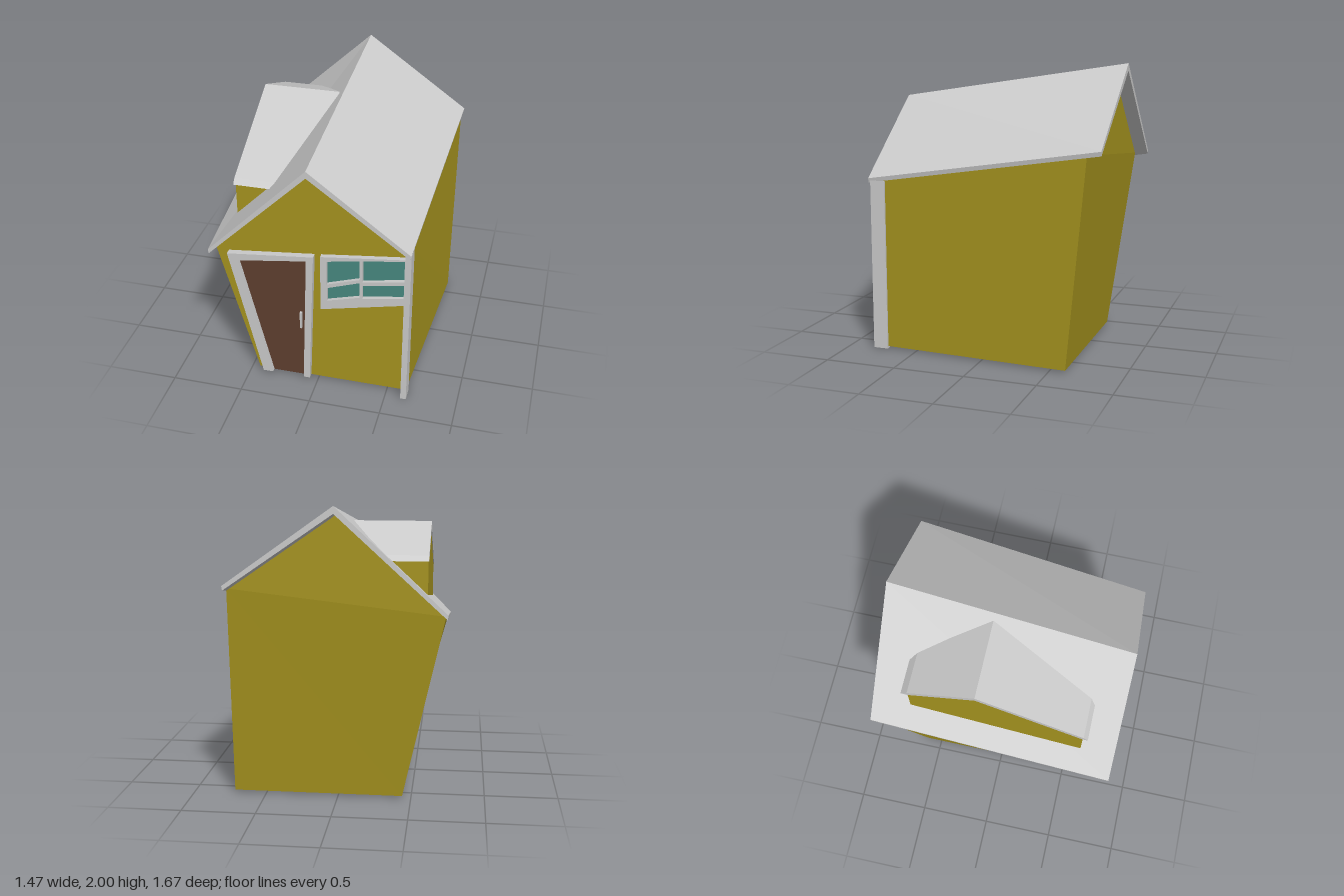
import * as THREE from 'three';

const mat = (color) => new THREE.MeshStandardMaterial({ color, flatShading: true });
const grey = mat(0xcccccc), yellow = mat(0xa6941f), brown = mat(0x5f3f2f), teal = mat(0x488980);

function add(group, name, geometry, material) {
  const mesh = new THREE.Mesh(geometry, material);
  mesh.name = name;
  group.add(mesh);
  return mesh;
}

// Joins a front loop to a back loop (both anticlockwise from the front) and caps the ends.
function loft(front, back, caps) {
  const pos = [], n = front.length;
  const tri = (a, b, c) => pos.push(...a, ...b, ...c);
  for (let i = 0; i < n; i++) {
    const j = (i + 1) % n;
    tri(front[i], back[i], front[j]);
    tri(back[i], back[j], front[j]);
  }
  for (const [a, b, c] of caps) {
    tri(front[a], front[b], front[c]);
    tri(back[a], back[c], back[b]);
  }
  const g = new THREE.BufferGeometry();
  g.setAttribute('position', new THREE.Float32BufferAttribute(pos, 3));
  g.computeVertexNormals();
  return g;
}

const points = (list) => list.map(([x, y]) => new THREE.Vector2(x, y));

// Flat outline in x and y, extruded from z0 to z1.
function slab(outline, z0, z1, holes = []) {
  const shape = new THREE.Shape(points(outline));
  shape.holes = holes.map((h) => new THREE.Path(points(h)));
  return new THREE.ExtrudeGeometry(shape, { depth: z1 - z0, bevelEnabled: false }).translate(0, 0, z0);
}

// Outline in z and y, extruded from x0 to x1.
function crossSlab(outline, x0, x1) {
  return slab(outline.map(([z, y]) => [-z, y]), x0, x1).rotateY(Math.PI / 2);
}

export function createModel() {
  const house = new THREE.Group();
  house.name = 'crookedHouse';

  // Leaning body, wider and taller towards the back
  add(house, 'walls', loft(
    [[-0.44, 0.015, 0.74], [0.635, 0.015, 0.74], [0.635, 1.22, 0.74], [-0.04, 1.71, 0.74], [-0.72, 1.05, 0.74]],
    [[-0.44, 0.015, -0.61], [0.72, 0.015, -0.61], [0.72, 1.45, -0.74], [0, 1.94, -0.74], [-0.72, 1.29, -0.74]],
    [[0, 1, 2], [0, 2, 4], [2, 3, 4]]), yellow);

  // Main roof, rising to the back
  add(house, 'mainRoof', loft(
    [[-0.73, 1.015, 0.835], [-0.04, 1.69, 0.835], [0.645, 1.185, 0.835],
      [0.65, 1.215, 0.835], [-0.04, 1.74, 0.835], [-0.735, 1.045, 0.835]],
    [[-0.73, 1.285, -0.835], [0, 1.95, -0.835], [0.725, 1.45, -0.835],
      [0.73, 1.48, -0.835], [0, 2, -0.835], [-0.735, 1.315, -0.835]],
    [[0, 1, 4], [0, 4, 5], [1, 2, 3], [1, 3, 4]]), grey);

  // Dormer running into the left slope
  const dormer = new THREE.Group();
  dormer.name = 'dormer';
  house.add(dormer);
  add(dormer, 'dormerWalls', crossSlab(
    [[0.6, 1.15], [0.6, 1.47], [-0.12, 1.825], [-0.58, 1.64], [-0.58, 1.36]], -0.595, -0.3), yellow);
  add(dormer, 'dormerRoof', crossSlab(
    [[0.635, 1.455], [0.605, 1.49], [-0.12, 1.85], [-0.58, 1.665], [-0.625, 1.63],
      [-0.58, 1.625], [-0.12, 1.81], [0.6, 1.455]], -0.6, -0.06), grey);

  // Corner post
  add(house, 'cornerPost', new THREE.BoxGeometry(0.04, 1.2, 0.105).translate(0.63, 0.6, 0.7675), grey);

  // Door
  const door = new THREE.Group();
  door.name = 'door';
  house.add(door);
  add(door, 'doorFrame', slab(
    [[-0.4, 0.02], [-0.33, 0.02], [-0.545, 0.955], [-0.065, 1.025], [-0.1, 0.02],
      [-0.055, 0.02], [-0.015, 1.065], [-0.62, 1.0]], 0.73, 0.785), grey);
  add(door, 'doorPanel', slab(
    [[-0.328, 0.02], [-0.1, 0.02], [-0.065, 1.025], [-0.545, 0.955]], 0.73, 0.755), brown);
  add(door, 'doorHandle', new THREE.BoxGeometry(0.013, 0.13, 0.025).translate(-0.114, 0.515, 0.765), grey);

  // Window with four skewed panes
  const panes = [
    [[0.075, 0.855], [0.3, 0.93], [0.3, 1.08], [0.075, 1.04]],
    [[0.075, 0.72], [0.3, 0.785], [0.3, 0.905], [0.075, 0.825]],
    [[0.32, 0.915], [0.6, 0.965], [0.6, 1.125], [0.32, 1.085]],
    [[0.32, 0.78], [0.6, 0.83], [0.6, 0.935], [0.32, 0.885]],
  ];
  const win = new THREE.Group();
  win.name = 'window';
  house.add(win);
  const outline = [[0.03, 0.64], [0.612, 0.775], [0.612, 1.14], [0.03, 1.07]];
  add(win, 'windowFrame', slab(outline, 0.73, 0.775, panes), grey);
  for (const pane of panes) add(win, 'windowPane', slab(pane, 0.73, 0.75), teal);

  return house;
}
